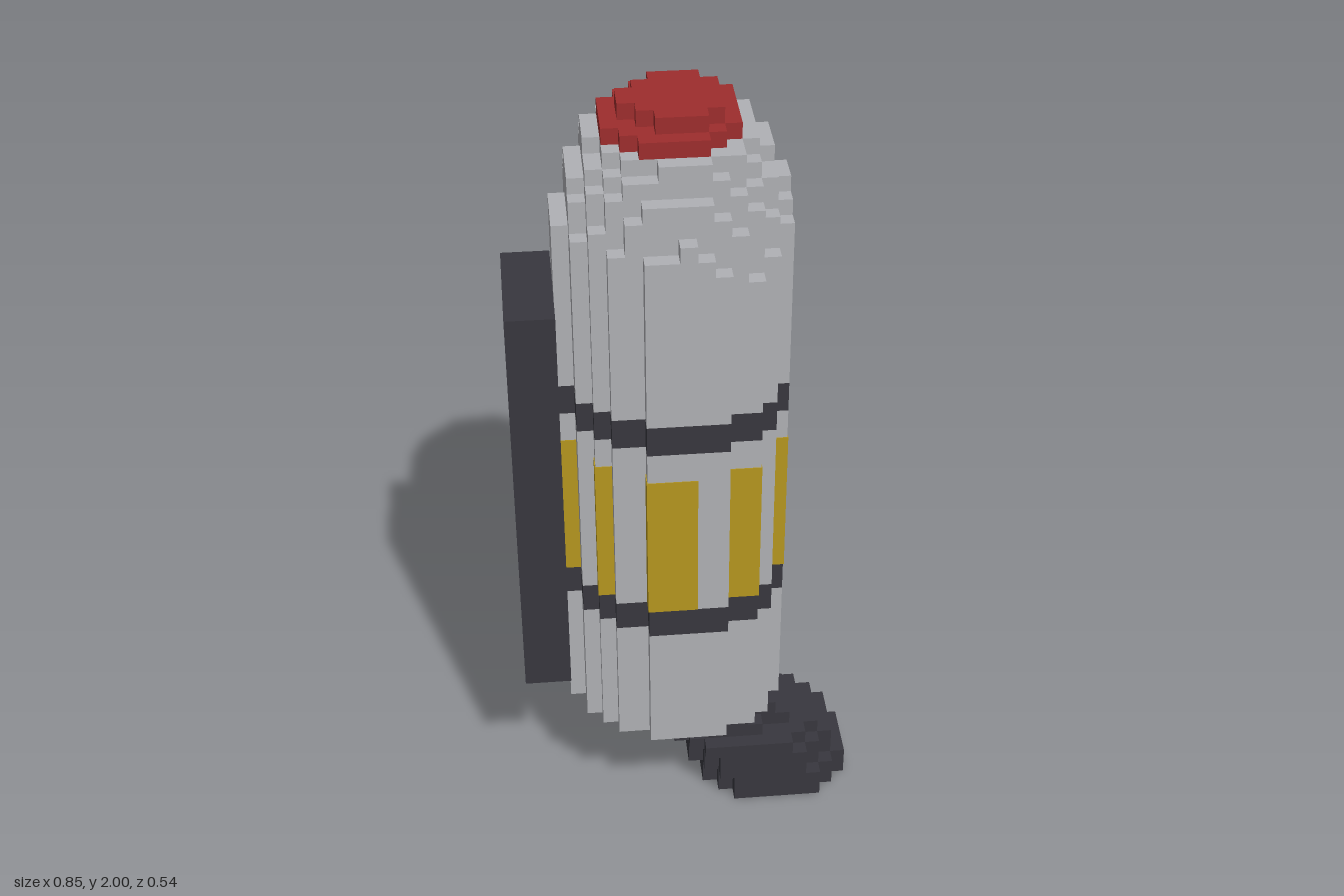
import * as THREE from 'three';
import { mergeGeometries } from 'three/addons/utils/BufferGeometryUtils.js';

const V = 1 / 26; // voxel size; grid is 22 x 52 x 14

// Box between grid corners, optionally swollen sideways by e
function cell(i0, i1, j0, j1, k0, k1, e = 0) {
  const g = new THREE.BoxGeometry((i1 - i0) * V + 2 * e, (j1 - j0) * V, (k1 - k0) * V + 2 * e);
  return g.translate(((i0 + i1) / 2 - 11) * V, ((j0 + j1) / 2) * V, ((k0 + k1) / 2 - 7) * V);
}

// Slab made of rows along x: rows[n] = [start, end] at depth k0 + n
const slab = (rows, k0, j0, j1) => rows.map(([a, b], n) => cell(a, b, j0, j1, k0 + n, k0 + n + 1));

export function createModel() {
  const model = new THREE.Group();
  const material = (name, color) => {
    const m = new THREE.MeshStandardMaterial({ color });
    m.name = name;
    return m;
  };
  const gray = material('light gray', 0xb0b1b5);
  const dark = material('charcoal', 0x38373e);
  const red = material('red', 0x9e2d2d);
  const yellow = material('mustard', 0xb6971f);
  const add = (name, boxes, mat) => {
    const mesh = new THREE.Mesh(mergeGeometries(boxes), mat);
    mesh.name = name;
    model.add(mesh);
  };

  // Round cross-section of the tank
  const tank = [[7, 13], [6, 15], [5, 16], [4, 16], [4, 17], [3, 17], [3, 17],
    [3, 17], [3, 17], [4, 17], [4, 16], [5, 16], [6, 15], [8, 13]];
  add('tankBody', [[9, 18], [20, 32], [34, 41]].flatMap(([a, b]) => slab(tank, 0, a, b)), gray);
  add('bands', [[18, 20], [32, 34]].flatMap(([a, b]) => slab(tank, 0, a, b)), dark);

  // Stepped dome: column heights follow an ellipsoid
  const dome = [];
  tank.forEach(([a, b], k) => {
    for (let i = a; i < b; i++) {
      const d = Math.hypot(i + 0.5 - 10.2, k + 0.5 - 6.85) / 7.3;
      const h = Math.round(40.65 + 12 * Math.sqrt(Math.max(0, 1 - d * d)));
      dome.push(cell(i, i + 1, 41, Math.max(42, Math.min(50, h)), k, k + 1));
    }
  });
  add('dome', dome, gray);

  // Red cap in two steps
  add('cap', [
    ...slab([[8, 13], [7, 14], [6, 14], [6, 14], [6, 14], [6, 14], [7, 13], [8, 12]], 3, 50, 51),
    ...slab([[9, 12], [8, 13], [7, 13], [7, 13], [8, 13], [9, 12]], 4, 51, 52),
  ], red);

  // Yellow stripes around the middle: [i0, i1, k0, k1]
  const stripes = [[8, 11, 13, 14], [13, 15, 12, 13], [16, 17, 8, 10], [16, 17, 4, 6], [13, 15, 1, 2],
    [9, 11, 0, 1], [5, 6, 2, 3], [4, 5, 3, 4], [3, 4, 5, 6], [3, 4, 8, 9], [5, 6, 11, 12]];
  add('stripes', stripes.map(([a, b, c, d]) => cell(a, b, 20, 30, c, d, 0.002)), yellow);

  // Flat plate on the side
  add('sidePlate', [cell(0, 3, 12, 40, 3, 11)], dark);

  // Bent nozzle: stacked elliptical layers [left, right, half depth], bottom first
  const layers = [[12, 22, 4], [12, 22, 4], [11, 21, 4], [11, 21, 4], [10, 20, 4],
    [10, 18, 3], [9, 17, 3], [9, 16, 3], [8, 14, 2]];
  const nozzle = [cell(16, 18, 0, 2, 2, 3)];
  layers.forEach(([l, r, hz], j) => {
    for (let k = 7 - hz; k < 7 + hz; k++) {
      const s = (k + 0.5 - 7) / (hz + 0.2);
      const inset = Math.round(((r - l) / 2) * (1 - Math.sqrt(1 - s * s)));
      nozzle.push(cell(l + inset, r - inset, j, j + 1, k, k + 1));
    }
  });
  add('nozzle', nozzle, dark);
  return model;
}
